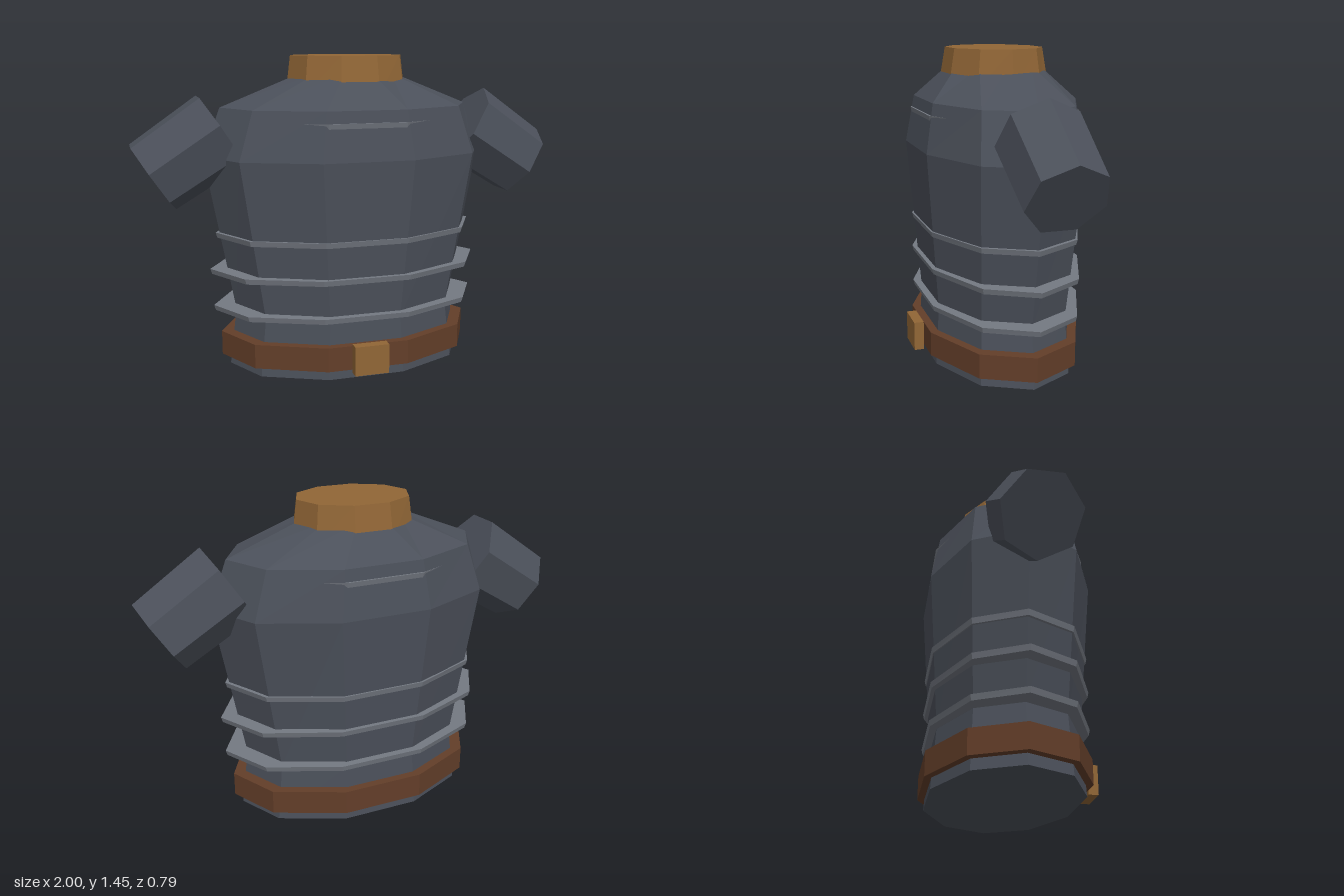
import * as THREE from 'three';

const SIDES = 10;

// Closed ten-sided elliptical loft through rows of [y, radiusX, radiusZ]
function loft(rows) {
  const pos = [];
  const pt = ([y, rx, rz], i) => {
    const a = (i / SIDES) * Math.PI * 2;
    return [rx * Math.cos(a), y, -rz * Math.sin(a)];
  };
  const tri = (...pts) => pts.forEach((p) => pos.push(...p));
  const first = rows[0];
  const last = rows[rows.length - 1];
  for (let i = 0; i < SIDES; i++) {
    for (let r = 0; r < rows.length - 1; r++) {
      const lo0 = pt(rows[r], i), lo1 = pt(rows[r], i + 1);
      const hi0 = pt(rows[r + 1], i), hi1 = pt(rows[r + 1], i + 1);
      tri(lo0, lo1, hi1);
      tri(lo0, hi1, hi0);
    }
    tri([0, last[0], 0], pt(last, i), pt(last, i + 1));
    tri([0, first[0], 0], pt(first, i + 1), pt(first, i));
  }
  const geo = new THREE.BufferGeometry();
  geo.setAttribute('position', new THREE.Float32BufferAttribute(pos, 3));
  geo.computeVertexNormals();
  return geo;
}

function material(name, color) {
  const m = new THREE.MeshStandardMaterial({ color, flatShading: true });
  m.name = name;
  return m;
}

export function createModel() {
  const model = new THREE.Group();
  model.name = 'armouredTorso';
  const steel = material('dark steel', 0x4b505a);
  const trim = material('light steel', 0x747982);
  const leather = material('brown leather', 0x633e29);
  const brass = material('brass', 0x916636);

  const add = (name, geo, mat, x = -0.006, y = 0, z = -0.02) => {
    const mesh = new THREE.Mesh(geo, mat);
    mesh.name = name;
    mesh.position.set(x, y, z);
    model.add(mesh);
    return mesh;
  };

  // Torso: flared hem, waist, chest, shoulders
  add('torso', loft([
    [0, 0.577, 0.355],
    [0.27, 0.543, 0.336],
    [1.0, 0.677, 0.394],
    [1.22, 0.595, 0.355],
    [1.37, 0.217, 0.207],
  ]), steel);

  // Collar
  add('collar', loft([[1.28, 0.288, 0.25], [1.45, 0.267, 0.22]]), brass);

  // Plate bands around the waist, and one that only breaks through the chest
  const bands = [[0.283, 0.648], [0.46, 0.66], [0.632, 0.63], [1.154, 0.58]];
  bands.forEach(([y, rx], i) => {
    add(i < 3 ? `waistBand${i + 1}` : 'chestBand', loft([
      [y - 0.0125, rx * 0.988, 0.368],
      [y + 0.0125, rx, 0.374],
    ]), trim);
  });

  // Belt and buckle
  add('belt', loft([[0.05, 0.615, 0.384], [0.163, 0.615, 0.384]]), leather);
  add('buckle', new THREE.BoxGeometry(0.16, 0.137, 0.046), brass, -0.005, 0.1065, 0.375);

  // Short seven-sided sleeves, sloping down and outwards
  const sleeve = new THREE.CylinderGeometry(0.184, 0.198, 0.369, 7, 1, false, -Math.PI / 2);
  sleeve.scale(1, 1, 0.95);
  for (const side of [1, -1]) {
    const arm = add(side > 0 ? 'leftSleeve' : 'rightSleeve', sleeve, steel, side * 0.75 - 0.005, 1.02);
    arm.rotation.z = -side * THREE.MathUtils.degToRad(123);
  }
  return model;
}
